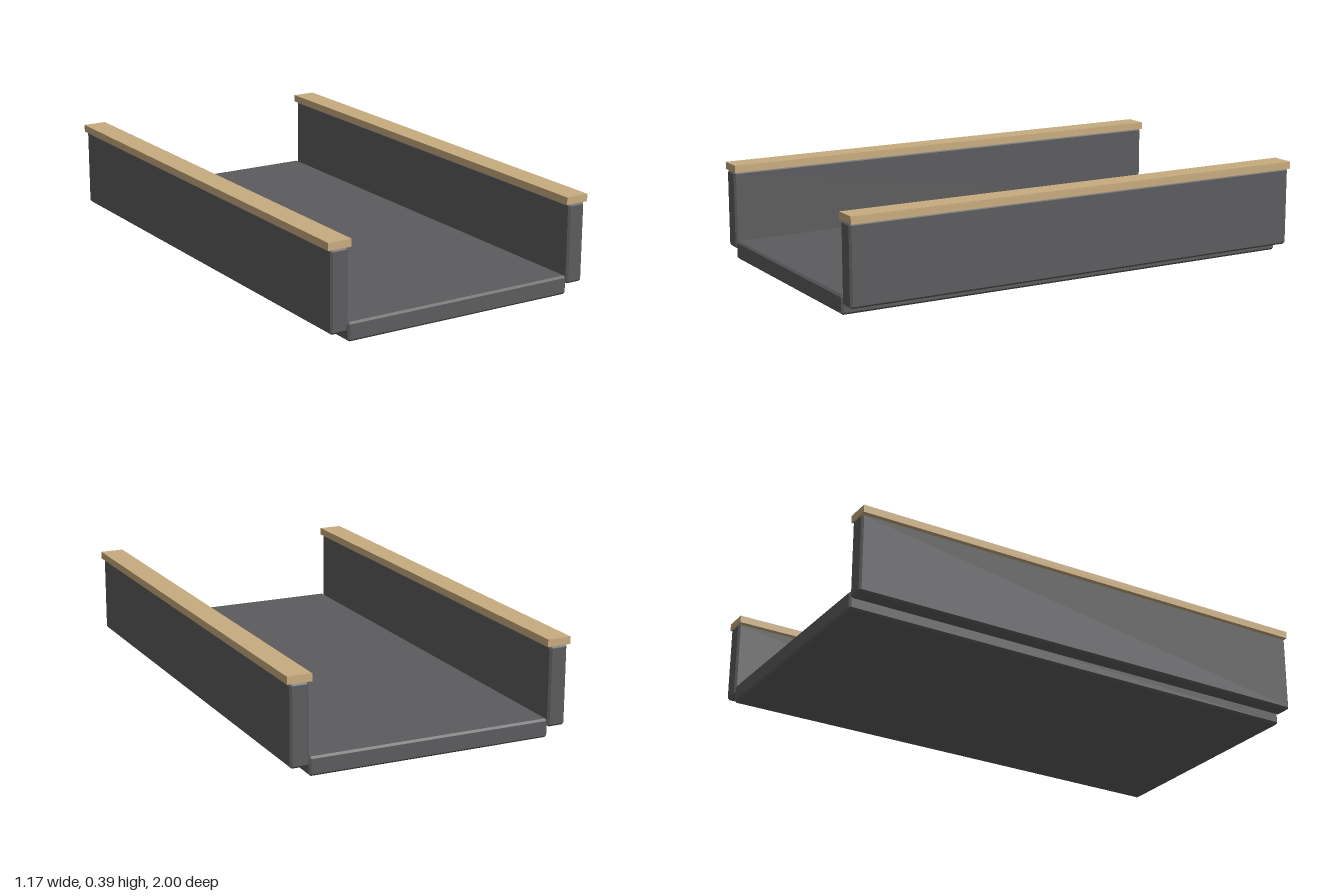
import * as THREE from 'three';
import { ConvexGeometry } from 'three/addons/geometries/ConvexGeometry.js';

// Box with a flat chamfer on every edge
function chamferedBox(w, h, d, c) {
  const points = [];
  for (const x of [-1, 1]) for (const y of [-1, 1]) for (const z of [-1, 1]) {
    const [a, b, e] = [w / 2, h / 2, d / 2];
    points.push(
      new THREE.Vector3(x * a, y * (b - c), z * (e - c)),
      new THREE.Vector3(x * (a - c), y * b, z * (e - c)),
      new THREE.Vector3(x * (a - c), y * (b - c), z * e),
    );
  }
  return new ConvexGeometry(points);
}

export function createModel() {
  const model = new THREE.Group();
  model.name = 'walledDeck';
  const stone = new THREE.MeshStandardMaterial({ name: 'dark grey', color: 0x5c5c5e });
  const timber = new THREE.MeshStandardMaterial({ name: 'tan', color: 0xc8ac7f });

  const add = (name, geometry, material, x, y) => {
    const mesh = new THREE.Mesh(geometry, material);
    mesh.name = name;
    mesh.position.set(x, y, 0);
    model.add(mesh);
  };

  // Deck slab
  add('deck', chamferedBox(0.998, 0.075, 2, 0.008), stone, 0, 0.0375);

  // Side walls with flat rails on top
  const wall = chamferedBox(0.074, 0.32, 2, 0.008);
  const rail = new THREE.BoxGeometry(0.098, 0.03, 2);
  for (const [side, s] of [['left', 1], ['right', -1]]) {
    add(side + 'Wall', wall, stone, s * 0.537, 0.2);
    add(side + 'Rail', rail, timber, s * 0.537, 0.375);
  }
  return model;
}
